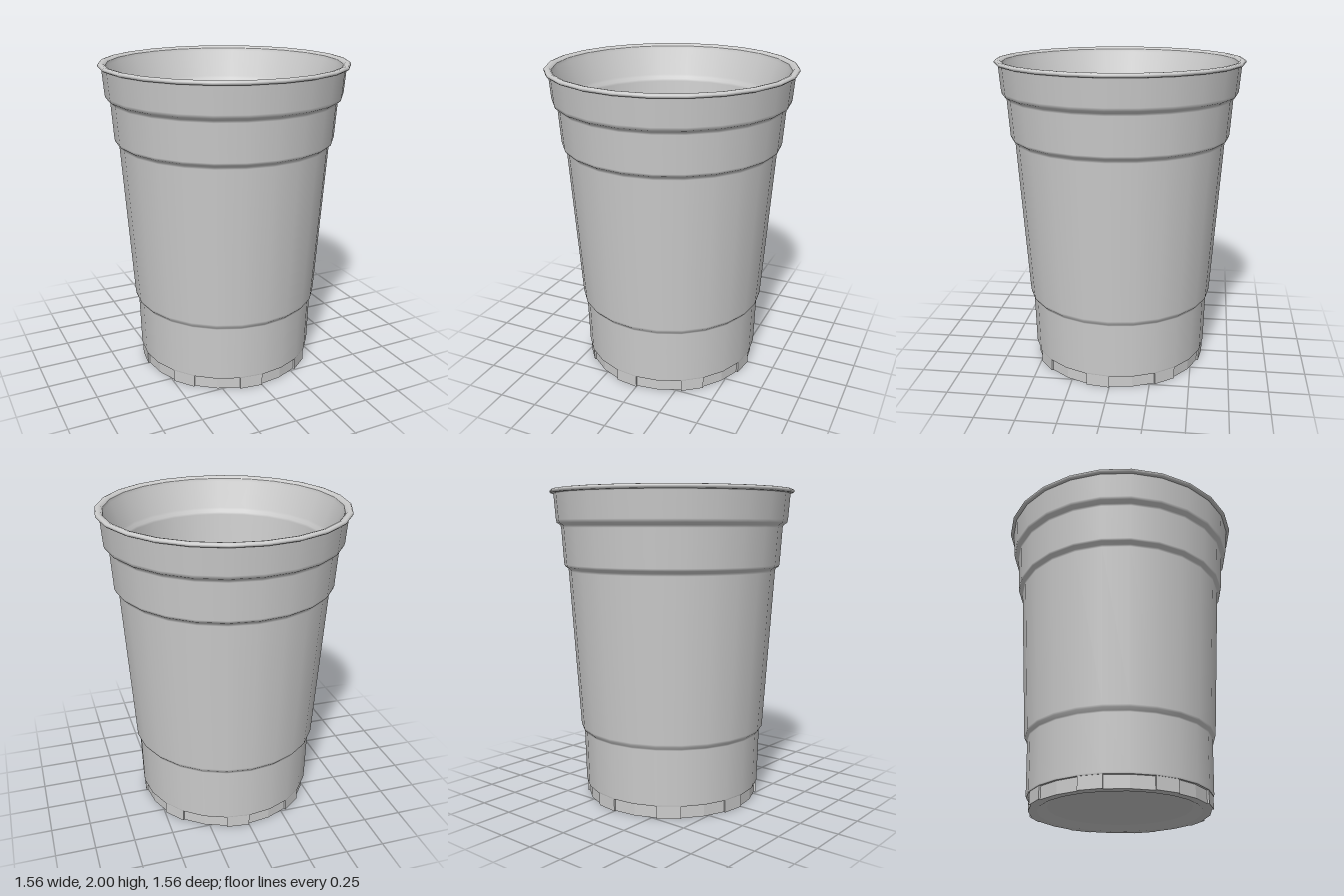
import * as THREE from 'three';

const SIDES = 24;

export function createModel() {
  const cup = new THREE.Group();
  cup.name = 'cup';
  const plastic = new THREE.MeshStandardMaterial({ color: 0xcccccc });
  plastic.name = 'grey plastic';

  const add = (name, geometry) => {
    const mesh = new THREE.Mesh(geometry, plastic);
    mesh.name = name;
    cup.add(mesh);
  };
  // Each profile runs counter-clockwise round the section as [radius, height]
  const turn = (name, profile) =>
    add(name, new THREE.LatheGeometry(profile.map(([r, y]) => new THREE.Vector2(r, y)), SIDES));

  // Outer wall with three soft steps
  turn('outerWall', [
    [0.573, 0.08], [0.576, 0.09], [0.585, 0.435], [0.588, 0.445], [0.602, 0.46], [0.605, 0.475],
    [0.670, 1.485], [0.673, 1.50], [0.694, 1.515], [0.698, 1.53],
    [0.713, 1.76], [0.717, 1.775], [0.740, 1.79], [0.745, 1.81], [0.757, 1.965], [0.761, 1.975],
  ]);

  // Rolled lip
  turn('rim', [
    [0.757, 1.972], [0.774, 1.975], [0.781, 1.982], [0.781, 1.991],
    [0.774, 1.998], [0.762, 2], [0.745, 1.996], [0.735, 1.985],
  ]);

  // Inner wall with matching ledges
  turn('innerWall', [
    [0.735, 1.985], [0.730, 1.965], [0.664, 1.80], [0.660, 1.785], [0.647, 1.77], [0.644, 1.755],
    [0.622, 1.53], [0.619, 1.515], [0.607, 1.50], [0.604, 1.485],
    [0.552, 0.475], [0.549, 0.46], [0.535, 0.445], [0.532, 0.43], [0.51, 0.08],
  ]);

  turn('floor', [[0.51, 0.08], [0, 0.08]]);
  turn('lowerEdge', [[0.54, 0.08], [0.573, 0.08]]);
  turn('recessSlope', [[0.445, 0.03], [0.505, 0]]);
  turn('underside', [[0, 0.03], [0.445, 0.03]]);

  // Foot ring with a raised pad on every third side
  const point = (i, r) => {
    const a = (i / SIDES) * Math.PI * 2;
    return new THREE.Vector2(r * Math.sin(a), -r * Math.cos(a));
  };
  const outline = [];
  const hole = [];
  for (let i = 0; i < SIDES; i++) {
    const pad = i % 3 === 2;
    outline.push(point(i, pad ? 0.57 : 0.558));
    if (i % 3 !== 0) outline.push(point(i + 1, pad ? 0.57 : 0.558));
    hole.push(point(i, 0.505));
  }
  // Neighbouring plain sides share a corner
  const corners = outline.filter((p, i) => i === 0 || p.distanceTo(outline[i - 1]) > 1e-4);
  const shape = new THREE.Shape(corners);
  shape.holes.push(new THREE.Path(hole));
  const foot = new THREE.ExtrudeGeometry(shape, { depth: 0.08, bevelEnabled: false });
  foot.rotateX(-Math.PI / 2);
  add('foot', foot);

  return cup;
}
